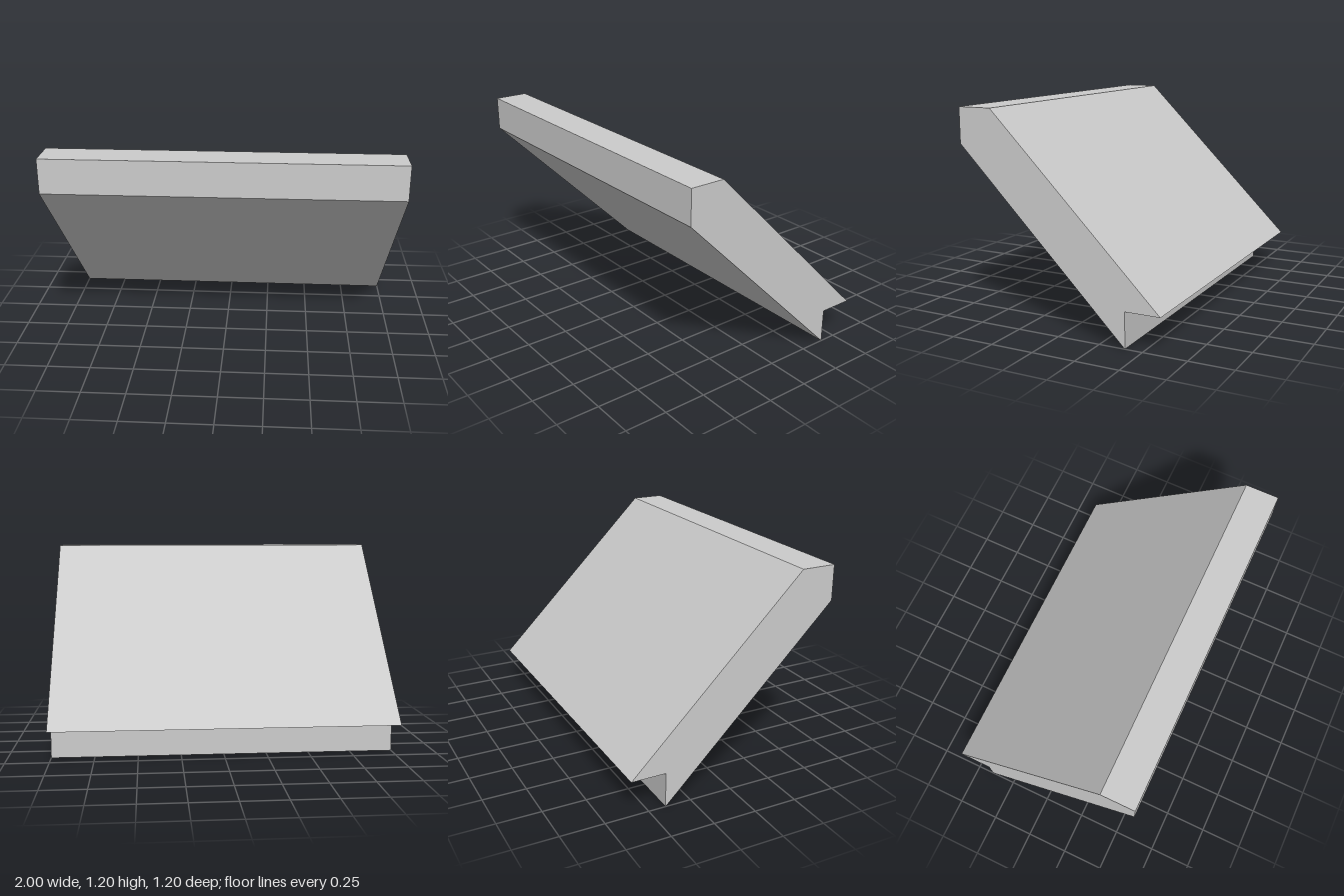
import * as THREE from 'three';

export function createModel() {
  const group = new THREE.Group();
  group.name = 'slopedSlab';

  // Side profile as (z, y): slanted slab, squared top edge, notched foot
  const profile = new THREE.Shape([
    [-0.4, 0], [0.6, 1], [0.6, 1.2], [0.4, 1.2], [-0.6, 0.2], [-0.4, 0.2],
  ].map(([z, y]) => new THREE.Vector2(z, y)));

  // Extrude across the full width, then turn the profile to face sideways
  const width = 2;
  const geometry = new THREE.ExtrudeGeometry(profile, { depth: width, bevelEnabled: false });
  geometry.translate(0, 0, -width / 2);
  geometry.rotateY(-Math.PI / 2);

  const slab = new THREE.Mesh(
    geometry,
    new THREE.MeshStandardMaterial({ color: 0xcccccc, flatShading: true }),
  );
  slab.name = 'slab';
  group.add(slab);
  return group;
}
